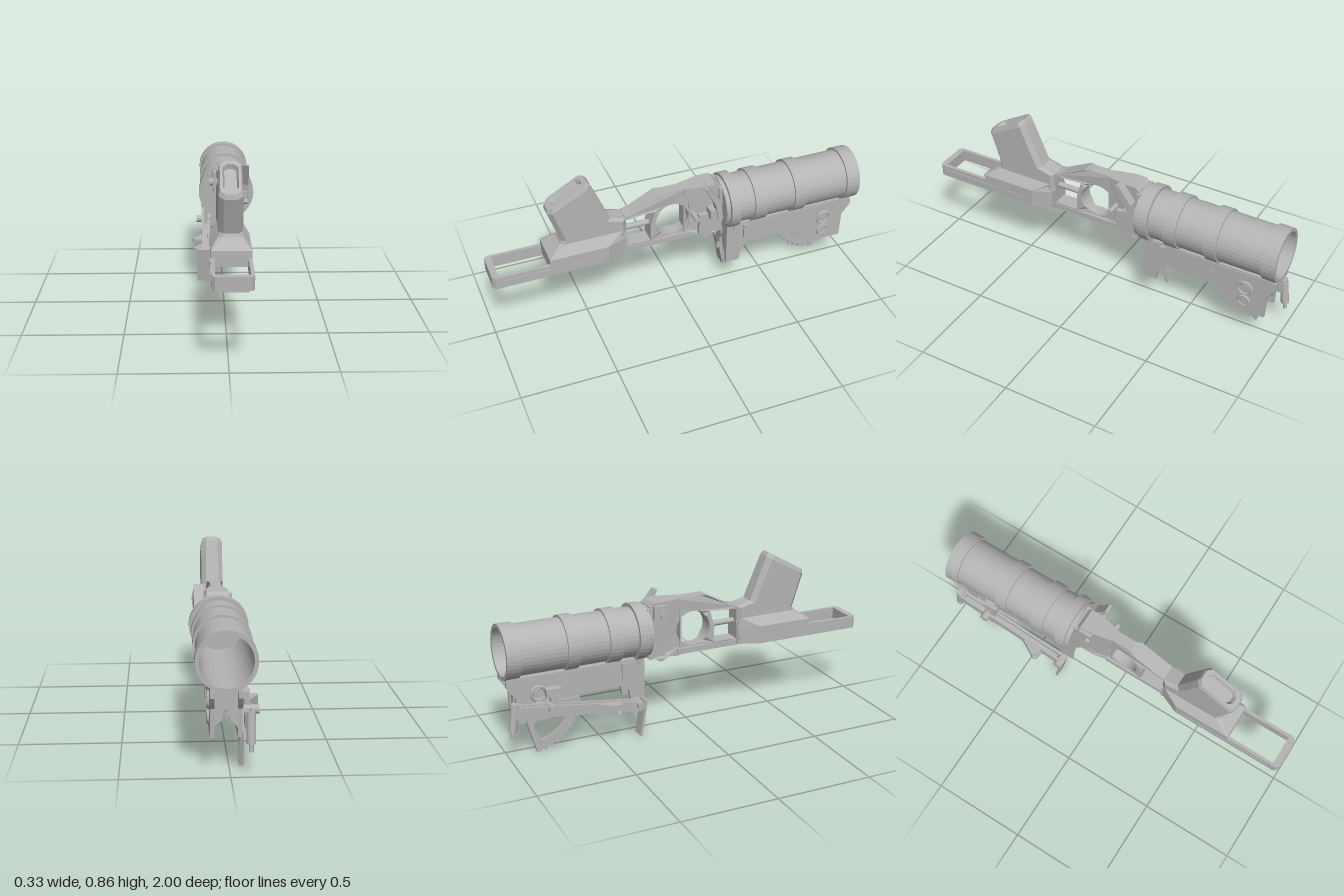
import * as THREE from 'three';

const CX = 0.018; // centre line of the launcher

export function createModel() {
  const root = new THREE.Group();
  root.name = 'launcher';
  const steel = new THREE.MeshStandardMaterial({ color: 0xb4b4b4, flatShading: true });
  steel.name = 'grey steel';

  const add = (name, geo) => {
    const m = new THREE.Mesh(geo, steel);
    m.name = name;
    root.add(m);
    return m;
  };
  // box given by its limits on each axis
  const box = (name, x0, x1, y0, y1, z0, z1) =>
    add(name, new THREE.BoxGeometry(x1 - x0, y1 - y0, z1 - z0)
      .translate((x0 + x1) / 2, (y0 + y1) / 2, (z0 + z1) / 2));
  const toShape = (pts, holes = []) => {
    const s = new THREE.Shape(pts.map(p => new THREE.Vector2(...p)));
    s.holes.push(...holes);
    return s;
  };
  const poly = pts => new THREE.Path(pts.map(p => new THREE.Vector2(...p)));
  const extrude = (pts, depth, holes) =>
    new THREE.ExtrudeGeometry(toShape(pts, holes), { depth, bevelEnabled: false, curveSegments: 14 });
  // side profile in (z, y), extruded from x0 to x1
  const profile = (name, pts, x0, x1, holes) =>
    add(name, extrude(pts, x1 - x0, holes).rotateY(-Math.PI / 2).translate(x1, 0, 0));
  // plan outline in (x, z), extruded from y0 to y1
  const plan = (name, pts, y0, y1, holes) =>
    add(name, extrude(pts, y1 - y0, holes).rotateX(Math.PI / 2).translate(0, y1, 0));
  const rod = (name, r, a, b, sides = 16) => {
    const p = new THREE.Vector3(...a), q = new THREE.Vector3(...b);
    const m = add(name, new THREE.CylinderGeometry(r, r, p.distanceTo(q), sides));
    m.position.copy(p).lerp(q, 0.5);
    m.quaternion.setFromUnitVectors(new THREE.Vector3(0, 1, 0), q.sub(p).normalize());
    return m;
  };
  // chamfered rings [zFront, yFront, zBack, yBack, halfWidth, chamfer, frontChamfer, backLength], bottom to top
  const loft = (name, rings) => {
    const pos = [], idx = [];
    rings.forEach(([za, ya, zb, yb, w, c, f = c, d = c]) => {
      const len = Math.hypot(za - zb, ya - yb), t = f / len, u = 1 - d / len;
      [[w, t], [w, u], [w - c, 1], [c - w, 1], [-w, u], [-w, t], [f - w, 0], [w - f, 0]]
        .forEach(([x, k]) => pos.push(CX + x, ya + (yb - ya) * k, za + (zb - za) * k));
    });
    const top = (rings.length - 1) * 8;
    for (let r = 0; r < top; r += 8) for (let i = 0; i < 8; i++) {
      const j = (i + 1) % 8;
      idx.push(r + i, r + j, r + 8 + j, r + i, r + 8 + j, r + 8 + i);
    }
    for (let i = 1; i < 7; i++) idx.push(0, i + 1, i, top, top + i, top + i + 1);
    const g = new THREE.BufferGeometry();
    g.setAttribute('position', new THREE.Float32BufferAttribute(pos, 3));
    g.setIndex(idx);
    g.computeVertexNormals();
    return add(name, g);
  };

  // hollow barrel with raised bands
  const outline = [[0, -0.3], [0.122, -0.3], [0.122, -0.997]];
  [[-0.997, -0.923, 0.141], [-0.685, -0.62, 0.141], [-0.464, -0.392, 0.141], [-0.308, -0.255, 0.148]]
    .forEach(([a, b, r], i) => outline.push(...(i ? [[0.13, a]] : []), [r, a], [r, b], [0.13, b]));
  outline.push([0.13, -0.245], [0, -0.245]);
  add('barrel', new THREE.LatheGeometry(outline.map(p => new THREE.Vector2(...p)), 36)
    .rotateX(Math.PI / 2).translate(CX, 0.538, 0));
  rod('breechFlange', 0.137, [CX, 0.538, -0.25], [CX, 0.538, -0.23], 36);
  box('breechPlate', CX - 0.07, CX + 0.07, 0.4, 0.665, -0.235, -0.212);

  // receiver with trigger ring and rear opening, narrow around the ring
  const receiver = profile('receiver',
    [[0.29, 0.385], [0.29, 0.6], [0.25, 0.61], [0.11, 0.683], [0.08, 0.687], [-0.07, 0.687], [-0.07, 0.372], [0.06, 0.383], [0.11, 0.385]],
    -0.042, 0.042, [new THREE.Path().absarc(0.035, 0.513, 0.093, 0, Math.PI * 2, true),
      poly([[0.155, 0.42], [0.285, 0.42], [0.285, 0.585], [0.235, 0.59], [0.13, 0.595], [0.155, 0.51]])]);
  const receiverFront = profile('receiverFront',
    [[-0.03, 0.385], [-0.03, 0.687], [-0.14, 0.69], [-0.2, 0.69], [-0.22, 0.67], [-0.22, 0.385], [-0.14, 0.385]], -0.056, 0.056,
    [poly([[-0.04, 0.42], [-0.04, 0.62], [-0.055, 0.6], [-0.06, 0.513], [-0.055, 0.43]])]);
  for (const [m, narrow] of [[receiver, z => z < 0.1 ? 0.68 : 1], [receiverFront, z => z > -0.1 ? 0.6 : 1]]) {
    const p = m.geometry.attributes.position;
    for (let i = 0; i < p.count; i++) p.setX(i, p.getX(i) * narrow(p.getZ(i)));
    m.geometry.computeVertexNormals();
    m.position.x = CX;
  }
  rod('triggerCrossbar', 0.015, [CX, 0.51, 0.14], [CX, 0.51, 0.3]);
  // lower rails on both edges of the receiver
  for (const s of [-1, 1])
    box('receiverRail', CX + s * 0.034 - 0.012, CX + s * 0.034 + 0.012, 0.385, 0.415, -0.06, 0.32);
  rod('lowerPin', 0.028, [CX - 0.05, 0.392, -0.153], [CX + 0.06, 0.392, -0.153]);
  box('lowerTab', 0.005, 0.032, 0.325, 0.39, -0.27, -0.25);

  // catches and sight leaf on the receiver sides
  box('sideCatch', 0.07, 0.095, 0.41, 0.53, -0.21, -0.1);
  rod('catchPin', 0.014, [0.04, 0.53, -0.078], [0.127, 0.53, -0.078]);
  profile('selectorLeaf', [[-0.12, 0.715], [-0.135, 0.715], [-0.205, 0.62], [-0.215, 0.51], [-0.19, 0.51], [-0.175, 0.6]], 0.088, 0.136);
  box('selectorMount', 0.07, 0.128, 0.515, 0.565, -0.2, -0.15);
  box('rightCatch', -0.055, -0.036, 0.6, 0.675, -0.2, -0.13);
  rod('rightCatchPin', 0.018, [-0.072, 0.62, -0.15], [-0.03, 0.62, -0.15]);

  // grip with recessed end, rising from a flared base
  loft('grip', [
    [0.705, 0.45, 0.287, 0.45, 0.058, 0.02],
    [0.64, 0.52, 0.287, 0.596, 0.058, 0.02],
    [0.627, 0.55, 0.367, 0.618, 0.058, 0.022],
    [0.687, 0.725, 0.463, 0.847, 0.058, 0.026],
    [0.683, 0.75, 0.478, 0.866, 0.05, 0.025],
    [0.66, 0.763, 0.501, 0.853, 0.037, 0.02],
    [0.64, 0.747, 0.497, 0.829, 0.029, 0.016]]);
  loft('gripBase', [
    [0.705, 0.41, 0.3, 0.41, 0.097, 0.039, 0.004, 0.1],
    [0.705, 0.487, 0.3, 0.487, 0.097, 0.039, 0.004, 0.1],
    [0.63, 0.535, 0.288, 0.535, 0.058, 0.02, 0.02, 0.02]]);
  box('gripNeck', CX - 0.056, CX + 0.056, 0.39, 0.5, 0.287, 0.38);

  // open stock tray
  const tray = [[-0.096, 0.4], [-0.058, 0.31], [0.058, 0.31], [0.096, 0.4], [0.096, 0.985], [0.081, 1], [-0.081, 1], [-0.096, 0.985]];
  const opening = poly([[-0.079, 0.43], [-0.079, 0.966], [0.079, 0.966], [0.079, 0.43]]);
  plan('stockTray', tray, 0.39, 0.455, [opening]).position.x = CX;
  for (const s of [-1, 1])
    box('trayRib', CX + s * 0.097 - 0.003, CX + s * 0.097 + 0.003, 0.424, 0.434, 0.43, 0.95);
  box('trayFoot', CX - 0.07, CX + 0.07, 0.383, 0.392, 0.975, 0.998);

  // under-barrel frame: two side plates, deck and arched end plates
  const side = [[-0.26, 0.375], [-0.262, 0.2], [-0.28, 0.172], [-0.335, 0.172], [-0.345, 0.245], [-0.38, 0.278],
    [-0.61, 0.278], [-0.67, 0.258], [-0.74, 0.19], [-0.79, 0.172], [-0.94, 0.172], [-0.945, 0.31], [-0.965, 0.335],
    [-0.99, 0.37], [-0.99, 0.404], [-0.3, 0.404], [-0.3, 0.375]];
  for (const s of [-1, 1]) {
    const x = CX + s * 0.076;
    profile('framePlate', side, CX + s * 0.063 - 0.01, CX + s * 0.063 + 0.01);
    for (const [y, r] of [[0.32, 0.044], [0.24, 0.036]]) {
      add('frameBoss', new THREE.TorusGeometry(r - 0.008, 0.008, 6, 24).rotateY(Math.PI / 2).translate(x, y, -0.83));
      rod('frameBossCore', r * 0.6, [x - 0.006, y, -0.83], [x + 0.004, y, -0.83], 20);
    }
    rod('framePin', 0.014, [x - 0.005, 0.345, -0.65], [x + 0.002, 0.345, -0.65]);
    box('frameLug', x - 0.008, x + 0.008, 0.325, 0.4, -0.385, -0.355);
    rod('frameLugEnd', 0.015, [x - 0.008, 0.325, -0.37], [x + 0.008, 0.325, -0.37]);
  }
  box('frameDeck', CX - 0.07, CX + 0.07, 0.385, 0.412, -0.98, -0.265);
  const arch = [[-0.073, 0.41], [-0.073, 0.172], [-0.057, 0.172]];
  for (let i = 0; i <= 5; i++) {
    const a = Math.PI - i * 0.25;
    arch.push([Math.cos(a) * 0.057, 0.195 + Math.sin(a) * 0.057]);
  }
  arch.push([-0.016, 0.28], [-0.008, 0.298]);
  const fullArch = arch.concat(arch.map(([x, y]) => [-x, y]).reverse());
  for (const z of [-0.29, -0.935]) add('frameEnd', extrude(fullArch, 0.03).translate(CX, 0, z));

  // toothed sight quadrant
  const arc = [];
  for (let i = 0; i <= 44; i++) {
    const a = -i / 44 * 1.5, r = i > 8 && i % 4 < 2 ? 0.243 : 0.256;
    arc.push([-0.87 + r * Math.cos(a), 0.26 + r * Math.sin(a)]);
  }
  for (let i = 16; i >= 0; i--) {
    const a = -i / 16 * 1.5;
    arc.push([-0.87 + 0.195 * Math.cos(a), 0.26 + 0.195 * Math.sin(a)]);
  }
  profile('sightQuadrant', arc, -0.066, -0.054);
  profile('quadrantArm', [[-0.825, 0.06], [-0.852, 0.008], [-0.9, 0.18], [-0.87, 0.27], [-0.62, 0.27], [-0.65, 0.225], [-0.83, 0.225], [-0.868, 0.15]], -0.066, -0.045);

  // sight arm, tilted leaf and bracket
  for (const x of [-0.114, -0.08])
    profile('sightArmRail', [[-0.29, 0.145], [-0.29, 0.2], [-0.34, 0.205], [-0.95, 0.285], [-0.96, 0.23]], x, x + 0.014);
  profile('sightArmWeb', [[-0.34, 0.165], [-0.34, 0.18], [-0.95, 0.265], [-0.95, 0.25]], -0.11, -0.07);
  const leafOutline = [[-0.036, -0.095], [-0.004, -0.095], [-0.004, -0.085], [0.004, -0.085], [0.004, -0.095],
    [0.03, -0.095], [0.036, -0.06], [0.036, 0.095], [-0.036, 0.095]];
  const leaf = add('sightLeaf', extrude(leafOutline, 0.012));
  leaf.position.set(-0.105, 0.115, -0.308);
  leaf.rotation.x = 0.17;
  rod('leafHinge', 0.02, [-0.138, 0.185, -0.31], [-0.065, 0.185, -0.31]);
  // hollow wedge-shaped guard beside the arm
  const guard = [[-0.11, -0.55], [-0.168, -0.45], [-0.162, -0.43], [-0.11, -0.42]];
  for (const y of [0.165, 0.215]) plan('armGuardPlate', guard, y, y + 0.011);
  plan('armGuardWall', [[-0.11, -0.55], [-0.168, -0.45], [-0.157, -0.45], [-0.105, -0.54]], 0.165, 0.226);
  rod('armPivot', 0.022, [-0.143, 0.255, -0.78], [-0.045, 0.255, -0.78]);
  box('armBracket', -0.096, -0.05, 0.305, 0.345, -0.8, -0.72);
  box('armBracketStem', -0.1, -0.075, 0.23, 0.31, -0.78, -0.74);

  // front sight post at the end of the arm
  rod('sightPost', 0.021, [-0.092, 0.3, -0.962], [-0.092, 0.155, -0.982]);
  rod('sightPostTip', 0.011, [-0.092, 0.157, -0.982], [-0.092, 0.12, -0.986]);
  box('sightPostMount', -0.113, -0.068, 0.225, 0.285, -0.965, -0.93);

  return root;
}
